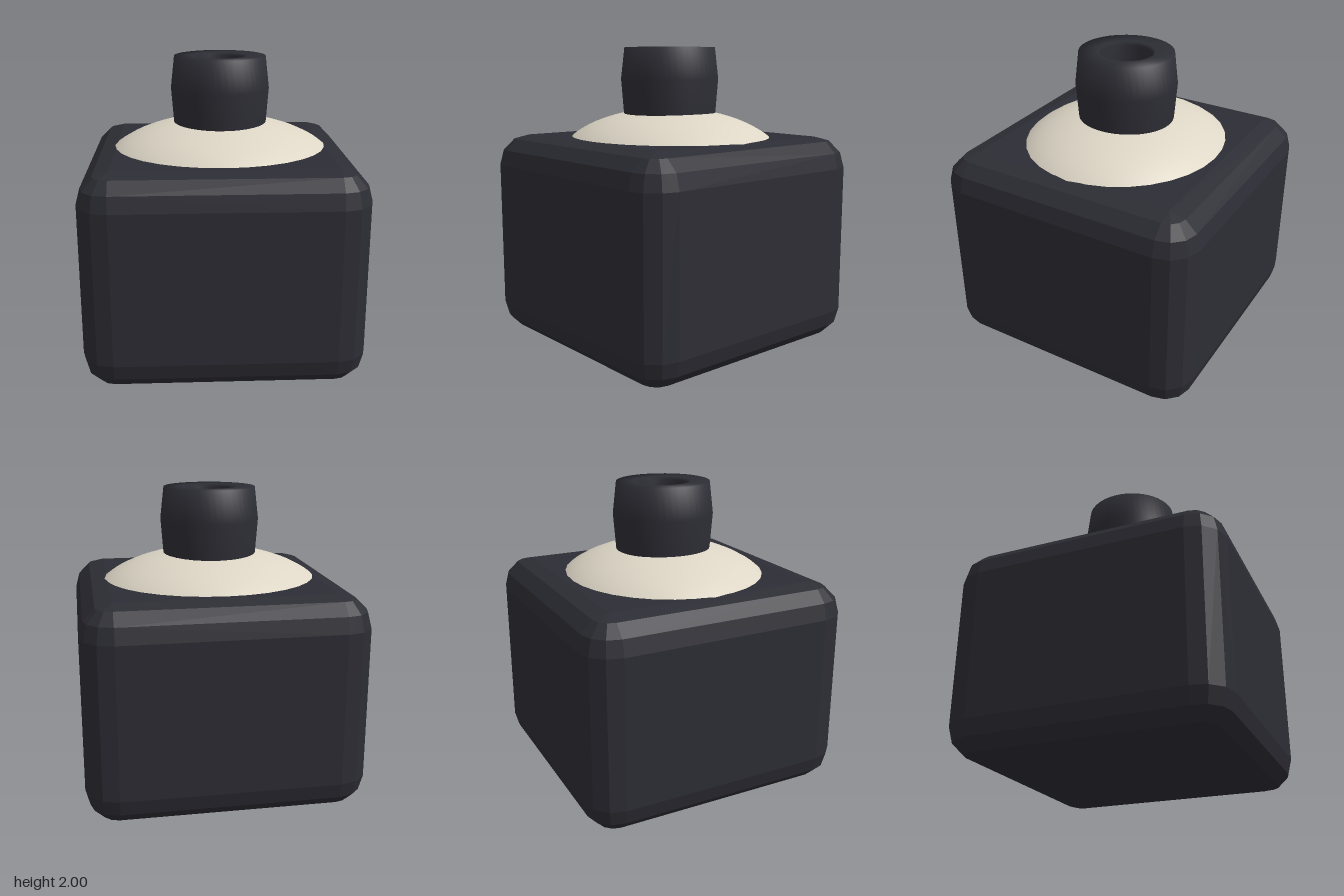
import * as THREE from 'three';
import { ConvexGeometry } from 'three/addons/geometries/ConvexGeometry.js';

const dark = new THREE.MeshStandardMaterial({ color: 0x2d2d35 });
dark.name = 'charcoal';
const cream = new THREE.MeshStandardMaterial({ color: 0xddd6c6 });
cream.name = 'cream';

// Box with faceted rounded edges: hull of eight coarse corner octants
function bevelledBox(w, h, d, r, steps) {
  const points = [];
  for (const sx of [-1, 1]) for (const sy of [-1, 1]) for (const sz of [-1, 1]) {
    for (let i = 0; i <= steps; i++) {
      const lat = (i / steps) * Math.PI / 2;
      const columns = i === steps ? 0 : steps;
      for (let j = 0; j <= columns; j++) {
        const lon = (j / steps) * Math.PI / 2;
        points.push(new THREE.Vector3(
          sx * (w / 2 - r + r * Math.cos(lat) * Math.cos(lon)),
          sy * (h / 2 - r + r * Math.sin(lat)),
          sz * (d / 2 - r + r * Math.cos(lat) * Math.sin(lon))));
      }
    }
  }
  return new ConvexGeometry(points);
}

export function createModel() {
  const group = new THREE.Group();
  const add = (name, geometry, material) => {
    const mesh = new THREE.Mesh(geometry, material);
    mesh.name = name;
    group.add(mesh);
    return mesh;
  };

  // Chunky cube body
  add('body', bevelledBox(1.81, 1.4, 1.81, 0.205, 3), dark).position.y = 0.7;

  // Flattened shoulder dome rising from the top face
  const dome = add('shoulderDome',
    new THREE.SphereGeometry(1, 32, 16, 0, Math.PI * 2, 0, 1.25), cream);
  dome.scale.set(0.827, 0.39, 0.763);
  dome.position.y = 1.2;

  // Hollow barrel neck, softly shaded across its rim
  const profile = [
    [0.155, 1.5], [0.155, 1.79], [0.165, 1.98], [0.18, 2],
    [0.304, 2], [0.328, 1.79], [0.306, 1.5],
  ].reverse().map(([x, y]) => new THREE.Vector2(x, y));
  // Lathe faces outward when the profile runs upward on the outside
  const neck = add('neck', new THREE.LatheGeometry(profile, 48), dark);
  neck.scale.z = 1.02;

  return group;
}
